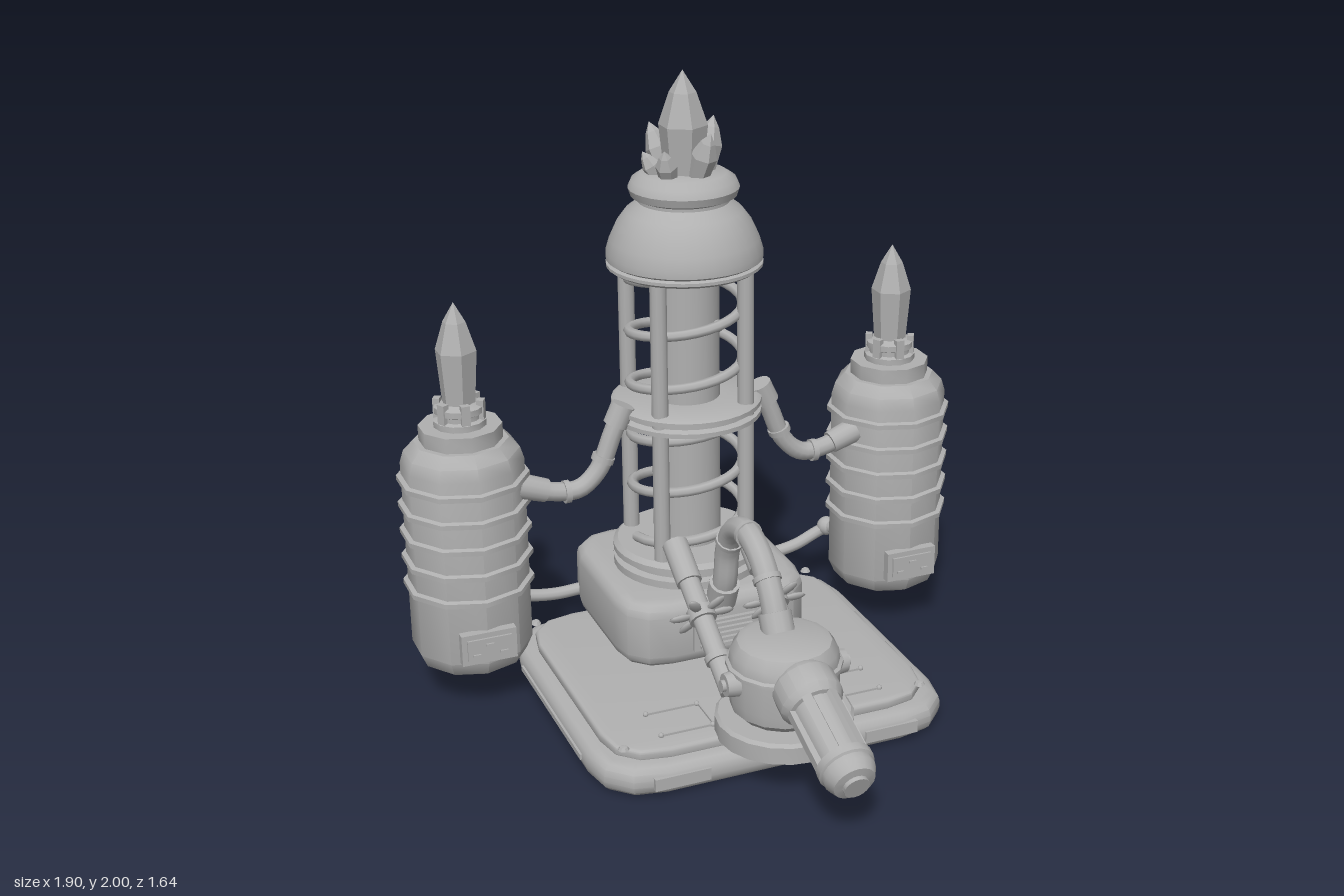
import * as THREE from 'three';
import { toCreasedNormals } from 'three/addons/utils/BufferGeometryUtils.js';

const V = (x, y, z) => new THREE.Vector3(x, y, z);
const UP = V(0, 1, 0);

export function createModel() {
  const root = new THREE.Group();
  root.name = 'crystalGenerator';
  const metal = new THREE.MeshStandardMaterial({ color: 0xb0b0b0 });
  metal.name = 'plain grey';

  function add(name, geo, x = 0, y = 0, z = 0, parent = root) {
    const m = new THREE.Mesh(geo, metal);
    m.name = name;
    m.position.set(x, y, z);
    parent.add(m);
    return m;
  }
  // Turned part from [radius, height] pairs, bottom to top
  const lathe = (pts, n = 24, crease = 0.6) =>
    toCreasedNormals(new THREE.LatheGeometry(pts.map(p => new THREE.Vector2(p[0], p[1])), n), crease);
  const box = (w, h, d) => new THREE.BoxGeometry(w, h, d);
  // Straight cylinder between two points
  function rod(name, a, b, r, r2 = r, n = 14, parent = root) {
    const m = add(name, new THREE.CylinderGeometry(r2, r, a.distanceTo(b), n), 0, 0, 0, parent);
    m.position.copy(a).add(b).multiplyScalar(0.5);
    m.quaternion.setFromUnitVectors(UP, b.clone().sub(a).normalize());
    return m;
  }
  function pipe(name, pts, r, seg = 24) {
    return add(name, new THREE.TubeGeometry(new THREE.CatmullRomCurve3(pts), seg, r, 10));
  }
  // Horizontal slab with rounded corners and bevelled rims
  function slab(name, w, d, r, y0, y1, bevel, z) {
    const s = new THREE.Shape(), a = w / 2 - bevel, b = d / 2 - bevel;
    s.moveTo(-a + r, -b).lineTo(a - r, -b).quadraticCurveTo(a, -b, a, -b + r)
      .lineTo(a, b - r).quadraticCurveTo(a, b, a - r, b)
      .lineTo(-a + r, b).quadraticCurveTo(-a, b, -a, b - r)
      .lineTo(-a, -b + r).quadraticCurveTo(-a, -b, -a + r, -b);
    const g = new THREE.ExtrudeGeometry(s, {
      depth: y1 - y0 - 2 * bevel, bevelSize: bevel, bevelThickness: bevel, bevelSegments: 3, curveSegments: 3
    });
    g.rotateX(-Math.PI / 2);
    return add(name, toCreasedNormals(g, 0.6), 0, y0 + bevel, z);
  }
  // Faceted six-sided crystal
  function crystal(name, r, h, shoulder, parent) {
    const g = new THREE.LatheGeometry([[0, 0], [r * 0.75, 0], [r, shoulder], [r * 0.55, shoulder + (h - shoulder) * 0.6], [0, h]]
      .map(p => new THREE.Vector2(p[0], p[1])), 6).toNonIndexed();
    g.computeVertexNormals();
    return add(name, g, 0, 0, 0, parent);
  }

  // Base platform
  slab('basePlate', 1.18, 1.06, 0.16, 0, 0.1, 0.04, -0.195);
  slab('baseDeck', 1.07, 0.95, 0.16, 0.09, 0.13, 0.012, -0.195);
  add('frontSeam', box(0.23, 0.012, 0.02), 0, 0.07, 0.327);
  for (const s of [-1, 1]) {
    add('frontSlot', box(0.18, 0.04, 0.02), s * 0.35, 0.05, 0.33);
    add('sideSlot', box(0.02, 0.018, 0.6), s * 0.587, 0.052, -0.2);
    for (const z of [0.23, -0.64]) add('deckBolt', lathe([[0.018, 0], [0.012, 0.01], [0, 0.013]], 8), s * 0.5, 0.13, z);
    for (const z of [0.07, 0.205]) {
      add('deckPanelEdge', box(0.18, 0.008, 0.006), s * 0.285, 0.133, z);
      for (const x of [0.2, 0.37]) add('deckStud', new THREE.SphereGeometry(0.009, 8, 6), s * x, 0.134, z);
    }
    add('deckPanelSide', box(0.006, 0.008, 0.135), s * 0.195, 0.133, 0.137);
  }

  // Tower plinth
  slab('plinth', 0.65, 0.645, 0.11, 0.12, 0.35, 0.045, -0.507);
  add('plinthGrille', box(0.22, 0.1, 0.02), 0, 0.225, -0.18);
  for (let i = 0; i < 5; i++) add('grilleSlat', box(0.18, 0.01, 0.02), 0, 0.19 + i * 0.018, -0.168);

  // Tower
  const tower = new THREE.Group();
  tower.name = 'tower';
  tower.position.z = -0.5;
  root.add(tower);
  add('towerFoot', lathe([[0.25, 0.345], [0.25, 0.375], [0.225, 0.38], [0.225, 0.395], [0.25, 0.4], [0.25, 0.42], [0.235, 0.435], [0, 0.435]], 32), 0, 0, 0, tower);
  add('towerCore', new THREE.CylinderGeometry(0.11, 0.11, 0.98, 24, 1, true), 0, 0.905, 0, tower);
  add('coreBubble', new THREE.SphereGeometry(0.02, 10, 8), 0.075, 1.19, 0.09, tower);
  for (const x of [-1, 1]) for (const z of [-1, 1])
    rod('towerPost', V(x * 0.147, 0.42, z * 0.147), V(x * 0.147, 1.39, z * 0.147), 0.027, 0.027, 12, tower);
  add('middleRing', lathe([[0.1, 0.875], [0.23, 0.875], [0.245, 0.88], [0.245, 0.895], [0.225, 0.902], [0.225, 0.908], [0.245, 0.915], [0.245, 0.93], [0.23, 0.94], [0.1, 0.94]], 32), 0, 0, 0, tower);
  const helix = [], turns = 5.2, pitch = 0.178;
  for (let i = 0; i <= 84; i++) {
    const t = i / 84 * turns, a = t * 2 * Math.PI;
    helix.push(V(-0.183 * Math.cos(a), 0.46 + t * pitch, 0.183 * Math.sin(a)));
  }
  add('coil', new THREE.TubeGeometry(new THREE.CatmullRomCurve3(helix), 170, 0.017, 7), 0, 0, 0, tower);
  add('towerCap', lathe([[0, 1.375], [0.235, 1.375], [0.25, 1.385], [0.25, 1.395], [0.238, 1.4], [0.25, 1.408], [0.25, 1.43], [0.238, 1.47], [0.215, 1.52],
    [0.185, 1.56], [0.145, 1.59], [0.145, 1.6], [0.168, 1.61], [0.176, 1.635], [0.165, 1.66], [0.135, 1.68], [0, 1.68]], 32), 0, 0, 0, tower);

  // Crystal cluster: [x, y, z, tipX, tipY, tipZ, radius]
  crystal('mainCrystal', 0.078, 0.35, 0.18, tower).position.y = 1.65;
  for (const [x, y, z, tx, ty, tz, r] of [
    [0.06, 1.65, 0, 0.11, 1.845, -0.02, 0.045], [-0.06, 1.65, 0.03, -0.09, 1.77, 0.07, 0.035],
    [0.02, 1.65, 0.05, 0.05, 1.82, 0.105, 0.042], [-0.03, 1.65, -0.05, -0.07, 1.82, -0.115, 0.042],
    [-0.07, 1.65, -0.01, -0.125, 1.75, -0.03, 0.03]]) {
    const a = V(x, y, z), d = V(tx, ty, tz).sub(a), c = crystal('smallCrystal', r, d.length(), d.length() * 0.55, tower);
    c.position.copy(a);
    c.quaternion.setFromUnitVectors(UP, d.normalize());
  }

  // Side tanks with their pipes
  for (const s of [-1, 1]) {
    const tank = new THREE.Group();
    tank.name = s > 0 ? 'leftTank' : 'rightTank';
    tank.position.set(s * 0.75, 0, -0.525);
    root.add(tank);
    add('tankBody', lathe([[0, 0.125], [0.14, 0.125], [0.175, 0.145], [0.195, 0.19], [0.195, 0.82], [0.183, 0.86], [0.15, 0.895], [0.132, 0.895], [0.132, 0.945], [0, 0.945]], 10, 0.7), 0, 0, 0, tank);
    for (let i = 0; i < 5; i++)
      add('tankHoop', lathe([[0.19, -0.014], [0.21, -0.008], [0.21, 0.008], [0.19, 0.014]], 10, 0.7), 0, 0.405 + i * 0.091, 0, tank);
    add('crystalSocket', lathe([[0.085, 0.945], [0.085, 0.965], [0.07, 0.97], [0.07, 0.985], [0.08, 0.99], [0.08, 1.01], [0.05, 1.02]], 12), 0, 0, 0, tank);
    for (let i = 0; i < 6; i++) {
      const a = i * Math.PI / 3;
      add('socketClaw', box(0.028, 0.08, 0.022), Math.sin(a) * 0.07, 0.99, Math.cos(a) * 0.07, tank).rotation.y = a;
    }
    crystal('tankCrystal', 0.066, 0.375, 0.22, tank).position.y = 0.97;
    // Front readout
    add('readoutPlate', box(0.18, 0.105, 0.03), 0, 0.258, 0.195, tank);
    add('readoutFrame', box(0.145, 0.07, 0.008), 0, 0.258, 0.213, tank);
    for (const x of [-0.045, 0, 0.045]) add('readoutMark', box(0.025, 0.008, 0.008), x, x ? 0.24 : 0.272, 0.219, tank);

    // Upper feed pipe
    pipe('feedPipe', [V(s * 0.24, 0.94, -0.45), V(s * 0.275, 0.86, -0.45), V(s * 0.325, 0.745, -0.45), V(s * 0.39, 0.69, -0.45), V(s * 0.47, 0.69, -0.455), V(s * 0.58, 0.725, -0.46)], 0.031);
    rod('feedCollar', V(s * 0.235, 0.955, -0.45), V(s * 0.265, 0.89, -0.45), 0.04);
    rod('tankCollar', V(s * 0.5, 0.7, -0.455), V(s * 0.59, 0.73, -0.46), 0.038, 0.042);
    rod('bendCollar', V(s * 0.305, 0.79, -0.45), V(s * 0.312, 0.772, -0.45), 0.038);
    rod('bendCollar', V(s * 0.425, 0.685, -0.452), V(s * 0.443, 0.685, -0.452), 0.038);
    // Lower rear return pipe
    pipe('returnPipe', [V(s * 0.64, 0.27, -0.68), V(s * 0.6, 0.235, -0.73), V(s * 0.5, 0.195, -0.73), V(s * 0.4, 0.18, -0.73), V(s * 0.28, 0.185, -0.73)], 0.021);
    add('returnJoint', new THREE.SphereGeometry(0.034, 12, 8), s * 0.62, 0.25, -0.725);

    // Sloping pipe with bladed valve
    const a = V(s * 0.125, 0.21, 0.17), b = V(s * 0.125, 0.5, -0.28), d = b.clone().sub(a).normalize();
    rod('slopingPipe', a, b, 0.034);
    rod('slopingPipeEnd', b.clone().addScaledVector(d, -0.13), b.clone().addScaledVector(d, 0.02), 0.042);
    rod('slopingPipeCollar', V(s * 0.125, 0.27, 0.075), V(s * 0.125, 0.282, 0.057), 0.042);
    const valve = new THREE.Group();
    valve.name = 'valve';
    valve.position.copy(a).lerp(b, 0.53);
    valve.quaternion.setFromUnitVectors(UP, d);
    root.add(valve);
    add('valveHub', new THREE.CylinderGeometry(0.045, 0.045, 0.04, 14), 0, 0, 0, valve);
    for (let i = 0; i < 6; i++) {
      const t = i * Math.PI / 3, blade = add('valveBlade', new THREE.SphereGeometry(1, 8, 6), Math.cos(t) * 0.07, 0, Math.sin(t) * 0.07, valve);
      blade.scale.set(0.04, 0.01, 0.018);
      blade.rotation.y = -t;
    }
    // Pump side bolt
    rod('pumpBolt', V(s * 0.16, 0.32, 0.3), V(s * 0.2, 0.32, 0.3), 0.042, 0.036);
    rod('pumpBoltTip', V(s * 0.19, 0.32, 0.3), V(s * 0.212, 0.32, 0.3), 0.018);
  }

  // Pump
  add('pumpBase', lathe([[0, 0.125], [0.215, 0.125], [0.215, 0.18], [0.205, 0.19], [0, 0.19]], 20), 0, 0, 0.295);
  add('pumpBody', lathe([[0.14, 0.19], [0.165, 0.215], [0.17, 0.25], [0.17, 0.345], [0.18, 0.35], [0.18, 0.362], [0.17, 0.368], [0.165, 0.4], [0.145, 0.43], [0.12, 0.44], [0, 0.44]], 16), 0, 0, 0.29);
  rod('deckRod', V(0, 0.175, 0.1), V(0, 0.175, -0.035), 0.005, 0.005, 6);

  // Nozzle, built upright and tilted forward
  const nozzle = new THREE.Group();
  nozzle.name = 'nozzle';
  nozzle.position.set(0, 0.355, 0.4);
  nozzle.quaternion.setFromUnitVectors(UP, V(0, -0.35, 0.937));
  root.add(nozzle);
  add('nozzleCollar', lathe([[0.08, 0], [0.1, 0.03], [0.1, 0.1], [0.085, 0.125], [0.06, 0.13]], 18), 0, 0, 0, nozzle);
  add('nozzleBarrel', new THREE.CylinderGeometry(0.068, 0.072, 0.25, 18), 0, 0.22, 0, nozzle);
  for (let i = 0; i < 6; i++) {
    const t = (i + 0.5) * Math.PI / 3;
    add('nozzleRib', box(0.03, 0.22, 0.025), Math.sin(t) * 0.073, 0.22, Math.cos(t) * 0.073, nozzle).rotation.y = t;
  }
  add('nozzleTip', lathe([[0.06, 0.325], [0.087, 0.33], [0.087, 0.355], [0.08, 0.36], [0.08, 0.38], [0.065, 0.41], [0.04, 0.415], [0.04, 0.428], [0, 0.428]], 18), 0, 0, 0, nozzle);

  // Arched hose from pump to plinth
  pipe('archedHose', [V(0, 0.44, 0.24), V(0, 0.54, 0.185), V(0, 0.625, 0.105), V(0, 0.66, 0), V(0, 0.62, -0.1), V(0, 0.53, -0.155), V(0, 0.42, -0.175), V(0, 0.33, -0.21)], 0.04, 36);
  rod('hoseCollar', V(0, 0.43, 0.245), V(0, 0.485, 0.215), 0.052);
  rod('hoseCollar', V(0, 0.4, -0.18), V(0, 0.32, -0.215), 0.05);
  for (const [y, z, dy, dz] of [[0.565, 0.165, 0.012, -0.012], [0.657, 0.02, 0, -0.016], [0.575, -0.135, -0.014, -0.008]])
    rod('hoseBand', V(0, y, z), V(0, y + dy, z + dz), 0.045);

  return root;
}
